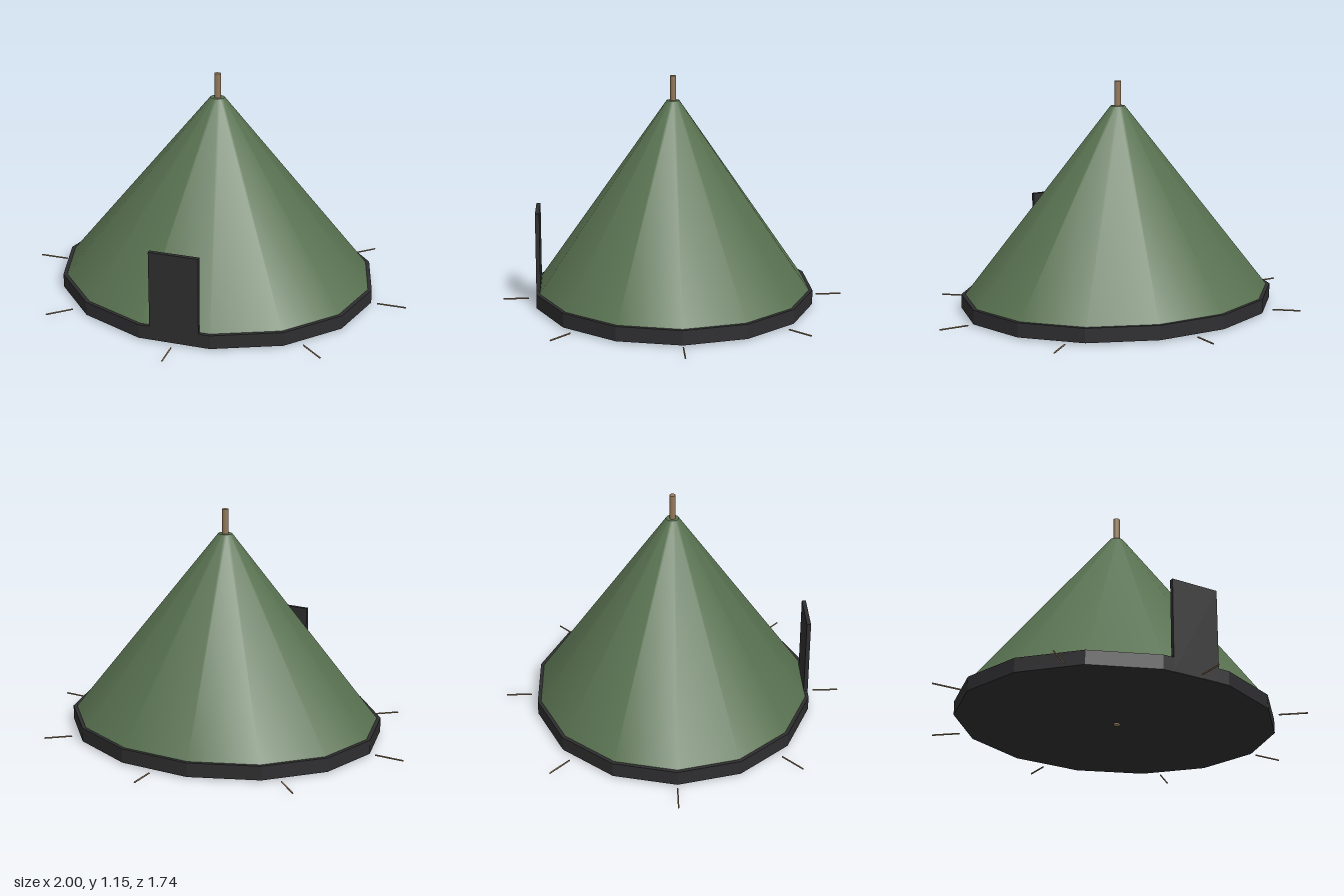
import * as THREE from 'three';

const SIDES = 14;
const DEPTH = 0.872; // the plan is an ellipse, shallower along z

export function createModel() {
  const model = new THREE.Group();
  model.name = 'bellTent';

  const canvas = new THREE.MeshStandardMaterial({ color: 0x587150 });
  canvas.name = 'green canvas';
  const dark = new THREE.MeshStandardMaterial({ color: 0x2e2d2f });
  dark.name = 'dark fabric';
  const darkFlat = dark;
  darkFlat.flatShading = true;
  const wood = new THREE.MeshStandardMaterial({ color: 0x94795a });
  wood.name = 'wood';

  const add = (name, geometry, material, parent = model) => {
    const mesh = new THREE.Mesh(geometry, material);
    mesh.name = name;
    parent.add(mesh);
    return mesh;
  };

  // Upright frustum with a corner on +x, squashed along z
  const frustum = (top, bottom, y0, y1, sides) =>
    new THREE.CylinderGeometry(top, bottom, y1 - y0, sides)
      .rotateY(Math.PI / 2)
      .scale(1, 1, DEPTH)
      .translate(0, (y0 + y1) / 2, 0);

  // Ground sheet with raised edge, conical roof and centre pole
  add('groundSheet', frustum(0.82, 0.82, 0.008, 0.08, SIDES), dark);
  add('roof', frustum(0.037, 0.8, 0.08, 1.03, SIDES), canvas);
  add('centrePole', frustum(0.017, 0.017, 0, 1.155, 12), wood);

  // Upright door panel at the front
  add('door', new THREE.BoxGeometry(0.25, 0.47, 0.021), dark).position.set(0, 0.245, 0.688);

  // Eight pegs lying on the ground, pointing outwards
  const pegs = new THREE.Group();
  pegs.name = 'pegs';
  model.add(pegs);
  for (let i = 0; i < 8; i++) {
    const peg = new THREE.CylinderGeometry(0.004, 0.004, 0.15, 6)
      .rotateZ(Math.PI / 2)
      .translate(0.925, 0.007, 0)
      .rotateY((i * Math.PI) / 4)
      .scale(1, 1, DEPTH);
    add('peg', peg, wood, pegs);
  }

  return model;
}
